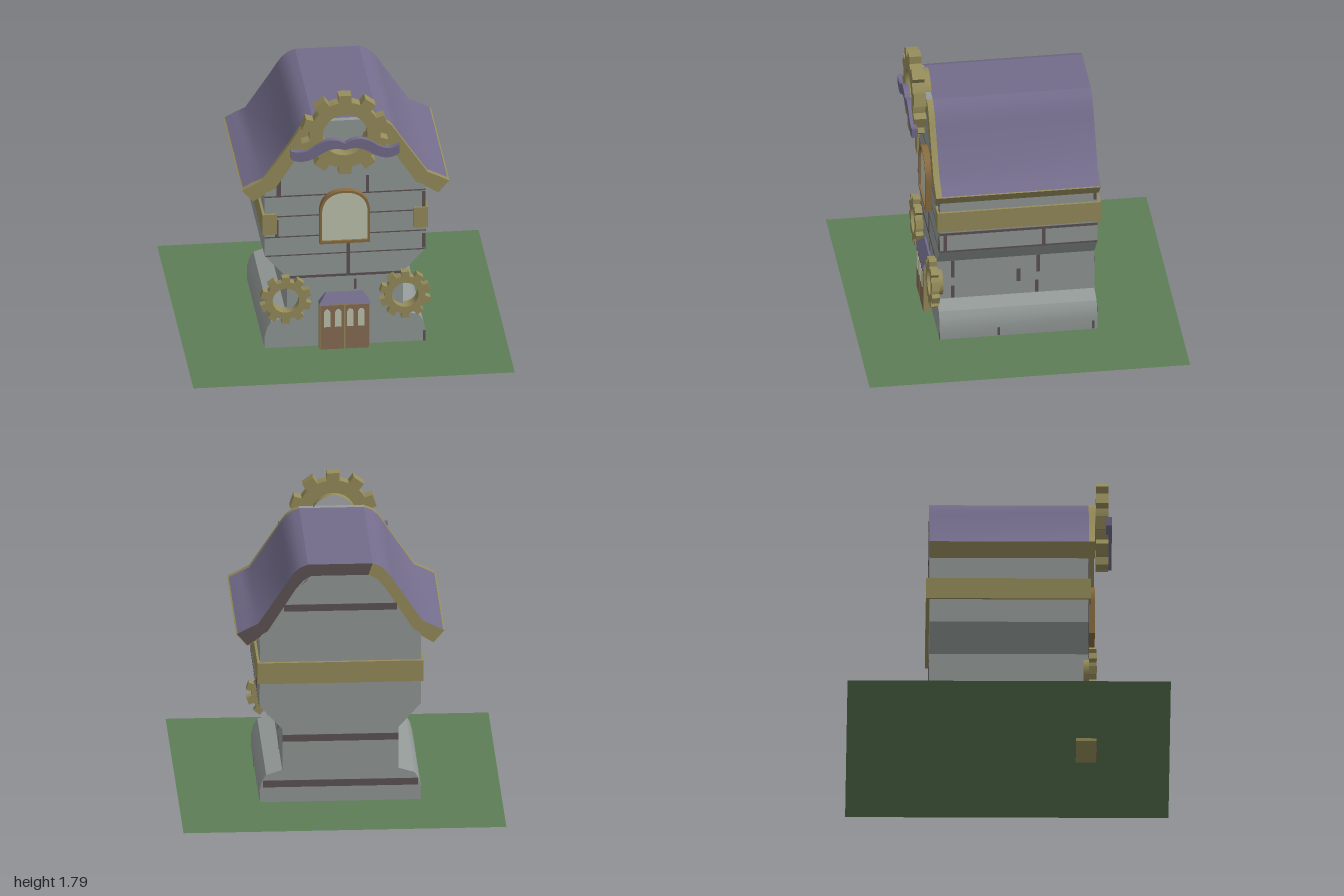
import * as THREE from 'three';
import { toCreasedNormals } from 'three/addons/utils/BufferGeometryUtils.js';

const mat = (name, color) => {
  const m = new THREE.MeshStandardMaterial({ color, side: THREE.DoubleSide });
  m.name = name;
  return m;
};

export function createModel() {
  const stone = mat('stone', 0x939a98), mortar = mat('mortar', 0x5d5254);
  const brass = mat('brass', 0x968d5b), purple = mat('roof purple', 0x736c8b);
  const grass = mat('grass', 0x5d7d56), wood = mat('wood', 0x896d55);
  const glass = mat('glass', 0xc0c6ae), frameWood = mat('frame wood', 0x8a6c40);

  const model = new THREE.Group();
  model.name = 'gearHouse';
  const add = (name, geo, material) => {
    const mesh = new THREE.Mesh(geo, material);
    mesh.name = name;
    model.add(mesh);
    return mesh;
  };
  const toShape = pts => new THREE.Shape(pts.map(p => new THREE.Vector2(p[0], p[1])));
  const mirror = pts => pts.map(([x, y]) => [-x, y]);
  // Extrudes a front-facing outline between two z positions
  const extrude = (name, shape, z0, z1, material, crease = 0) => {
    let g = new THREE.ExtrudeGeometry(shape, { depth: z1 - z0, bevelEnabled: false, curveSegments: 12 });
    if (crease) {
      const groups = g.groups;
      g = toCreasedNormals(g, crease);
      if (!g.groups.length) groups.forEach(q => g.addGroup(q.start, q.count, q.materialIndex));
    }
    return add(name, g.translate(0, 0, z0), material);
  };
  // Box given by its limits
  const box = (name, x0, x1, y0, y1, z0, z1, material) =>
    add(name, new THREE.BoxGeometry(x1 - x0, y1 - y0, z1 - z0)
      .translate((x0 + x1) / 2, (y0 + y1) / 2, (z0 + z1) / 2), material);

  // Ground
  add('ground', new THREE.PlaneGeometry(2, 2).rotateX(-Math.PI / 2).translate(0, 0.018, 0), grass);

  // Stone body: flared foot, narrow waist, overhanging upper floor and gable
  const wall = [[0.5, 0.02], [0.5, 0.1], [0.485, 0.16], [0.46, 0.2], [0.36, 0.23], [0.36, 0.5],
    [0.5, 0.655], [0.5, 1.12], [0.45, 1.15], [0.28, 1.42], [0.23, 1.48], [0.18, 1.51]];
  extrude('body', toShape([...wall, ...mirror(wall).reverse()]), -0.49, 0.495, stone, 0.5);

  // Roof: a curved slab in three pieces
  const outer = [[0.2, 1.585], [0.245, 1.568], [0.285, 1.535], [0.317, 1.49], [0.345, 1.445],
    [0.51, 1.2], [0.575, 1.17], [0.642, 1.135]];
  const inner = [[0.17, 1.5], [0.2, 1.487], [0.225, 1.46], [0.245, 1.43], [0.27, 1.395],
    [0.44, 1.135], [0.5, 1.11], [0.575, 1.06]];
  const slope = [...inner, ...[...outer].reverse()];
  const ridge = [inner[0], outer[0], ...mirror([outer[0], inner[0]])];
  const eave = [[0.646, 1.135], [0.577, 1.054], [0.495, 1.105], [0.5, 1.114], [0.575, 1.064], [0.637, 1.138]];
  extrude('roofRidge', toShape(ridge), -0.49, 0.497, [mortar, purple]);
  extrude('ridgeTrim', toShape(ridge), 0.497, 0.535, stone);
  for (const s of [1, -1]) {
    const side = pts => toShape(s > 0 ? pts : mirror(pts));
    extrude('roofSlope', side(slope), -0.49, 0.497, [s > 0 ? mortar : brass, purple], 0.6);
    extrude('roofTrim', side(slope), 0.497, 0.535, brass, 0.6);
    extrude('eave', side(eave), -0.488, 0.533, brass);
  }

  // Brass band around the sides and back, wrapping the front corners
  box('backBand', -0.515, 0.515, 0.808, 0.945, -0.51, -0.485, brass);
  for (const s of [1, -1]) {
    const [a, b] = s > 0 ? [0.485, 0.515] : [-0.515, -0.485];
    box('sideBand', a, b, 0.808, 0.945, -0.51, 0.51, brass);
    const [c, d] = s > 0 ? [0.425, 0.515] : [-0.515, -0.425];
    box('bandCorner', c, d, 0.808, 0.945, 0.49, 0.511, brass);
  }

  // Mortar on the front: [x0, x1, y0, y1]
  for (const [x0, x1, y0, y1] of [
    [-0.5, 0.5, 1.057, 1.065], [-0.5, 0.5, 0.919, 0.926], [-0.5, 0.5, 0.778, 0.785],
    [-0.495, 0.495, 0.65, 0.657], [-0.35, 0.36, 0.493, 0.509],
    [-0.425, -0.4, 1.06, 1.19], [0.13, 0.15, 1.06, 1.18], [-0.435, -0.415, 0.78, 0.9],
    [0.01, 0.03, 0.5, 0.74], [0.48, 0.5, 0.92, 1.05], [0.48, 0.5, 0.66, 0.76], [0.485, 0.5, 0.02, 0.09],
    [0.055, 0.07, 0.4, 0.47]]) box('frontMortar', x0, x1, y0, y1, 0.494, 0.498, mortar);
  // Mortar on the back: [half width, y]
  for (const [w, y] of [[0.48, 0.14], [0.36, 0.44], [0.35, 1.3]])
    box('backMortar', -w, w, y - 0.022, y + 0.022, -0.493, -0.489, mortar);
  // Mortar on the left wall: [x, z0, z1, y0, y1]
  for (const [x, z0, z1, y0, y1] of [
    [0.5, -0.49, 0.495, 0.773, 0.79], [0.5, -0.49, 0.495, 0.652, 0.662],
    [0.5, 0.45, 0.47, 0.66, 0.77], [0.5, -0.165, -0.145, 0.66, 0.78], [0.5, -0.485, -0.465, 0.96, 1.05],
    [0.5, 0.12, 0.135, 0.025, 0.08], [0.5, -0.47, -0.455, 0.025, 0.08],
    [0.36, 0.385, 0.405, 0.38, 0.5], [0.36, -0.15, -0.13, 0.38, 0.5], [0.36, -0.03, -0.005, 0.32, 0.41],
    [0.36, 0.385, 0.405, 0.235, 0.32], [0.36, -0.14, -0.12, 0.235, 0.32]])
    box('sideMortar', x - 0.001, x + 0.003, y0, y1, z0, z1, mortar);

  // Arched window
  const arch = (x0, x1, y0, y1, r) => {
    const s = new THREE.Shape();
    s.moveTo(x0, y0).lineTo(x1, y0).lineTo(x1, y1 - r);
    s.bezierCurveTo(x1, y1 - r * 0.35, x1 - r * 0.4, y1, (x0 + x1) / 2, y1);
    s.bezierCurveTo(x0 + r * 0.4, y1, x0, y1 - r * 0.35, x0, y1 - r);
    return s;
  };
  const frame = arch(-0.162, 0.152, 0.737, 1.098, 0.15);
  frame.holes.push(arch(-0.147, 0.137, 0.755, 1.084, 0.14));
  extrude('windowFrame', frame, 0.49, 0.536, frameWood, 0.6);
  extrude('windowPane', arch(-0.15, 0.14, 0.75, 1.087, 0.14), 0.515, 0.522, glass);

  // Double door with four small panes
  box('doorFrame', -0.165, 0.15, 0.0, 0.33, 0.42, 0.546, brass);
  for (const [x0, x1] of [[-0.157, -0.013], [-0.002, 0.142]])
    box('doorLeaf', x0, x1, 0.012, 0.318, 0.543, 0.55, wood);
  for (const x of [-0.117, -0.048, 0.027, 0.095])
    extrude('doorPane', arch(x - 0.021, x + 0.021, 0.172, 0.292, 0.03), 0.548, 0.553, glass);

  // Sloped awning: the top is pulled in
  const awning = new THREE.BoxGeometry(0.32, 0.06, 0.065);
  const p = awning.attributes.position;
  for (let i = 0; i < p.count; i++) if (p.getY(i) > 0) {
    p.setX(i, p.getX(i) * 0.72);
    if (p.getZ(i) > 0) p.setZ(i, -0.015);
  }
  const flat = awning.toNonIndexed();
  flat.computeVertexNormals();
  add('awning', flat.translate(-0.007, 0.357, 0.522), purple);

  // Gears with ten teeth and a sleeve reaching back through the hole
  const gear = (name, cx, cy, tip, rim, hole, toothW, z0, z1, back) => {
    const pts = [], n = 10;
    for (let i = 0; i < n; i++) {
      const a = Math.PI / 2 + i * 2 * Math.PI / n;
      const h = toothW / 2 / rim, k = toothW / 2 / tip;
      for (const [r, t] of [[rim, -h], [tip, -k], [tip, k], [rim, h], [rim, Math.PI / n]])
        pts.push([cx + r * Math.cos(a + t), cy + r * Math.sin(a + t)]);
    }
    const s = toShape(pts);
    s.holes.push(new THREE.Path().absarc(cx, cy, hole, 0, Math.PI * 2, true));
    extrude(name, s, z0, z1, brass, 0.6);
    add(name + 'Sleeve', new THREE.CylinderGeometry(hole, hole, z0 - back, 24, 1, true)
      .rotateX(Math.PI / 2).translate(cx, cy, (z0 + back) / 2), brass);
  };
  gear('topGear', -0.013, 1.525, 0.272, 0.222, 0.14, 0.08, 0.543, 0.62, 0.493);
  gear('rightGear', -0.373, 0.365, 0.16, 0.127, 0.083, 0.05, 0.497, 0.545, 0.465);
  gear('leftGear', 0.37, 0.365, 0.16, 0.127, 0.083, 0.05, 0.497, 0.545, 0.465);

  // Moustache-shaped ornament
  const m = new THREE.Shape();
  const c = -0.014;
  m.moveTo(c, 1.475);
  m.bezierCurveTo(c + 0.07, 1.525, c + 0.14, 1.505, c + 0.2, 1.455);
  m.bezierCurveTo(c + 0.25, 1.425, c + 0.29, 1.425, c + 0.337, 1.45);
  m.lineTo(c + 0.337, 1.395);
  m.bezierCurveTo(c + 0.28, 1.35, c + 0.22, 1.365, c + 0.16, 1.405);
  m.bezierCurveTo(c + 0.11, 1.44, c + 0.06, 1.455, c, 1.43);
  m.bezierCurveTo(c - 0.06, 1.455, c - 0.11, 1.44, c - 0.16, 1.405);
  m.bezierCurveTo(c - 0.22, 1.365, c - 0.28, 1.35, c - 0.337, 1.385);
  m.lineTo(c - 0.34, 1.44);
  m.bezierCurveTo(c - 0.29, 1.425, c - 0.25, 1.425, c - 0.2, 1.455);
  m.bezierCurveTo(c - 0.14, 1.505, c - 0.07, 1.525, c, 1.475);
  extrude('moustache', m, 0.605, 0.642, purple, 0.6);

  return model;
}
